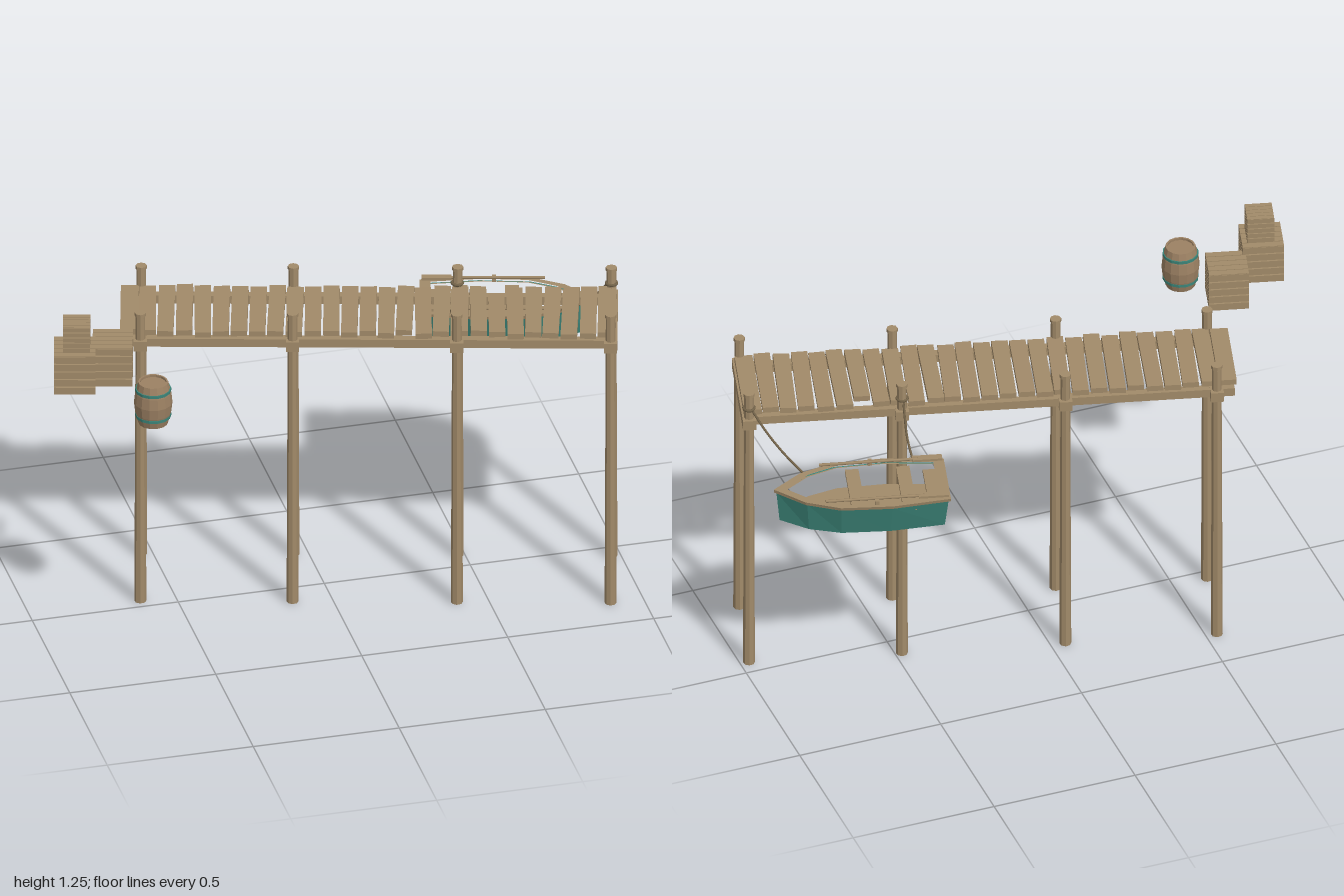
import * as THREE from 'three';

const mat = (name, color) => {
  const m = new THREE.MeshStandardMaterial({ color });
  m.name = name;
  return m;
};

// faceted normals
const flat = (g) => {
  const f = g.index ? g.toNonIndexed() : g;
  f.computeVertexNormals();
  return f;
};

export function createModel() {
  const wood = mat('weathered wood', 0xa18a69);
  const barrelWood = mat('barrel wood', 0x9c8163);
  const teal = mat('teal paint', 0x3c8478);
  const ropeMat = mat('rope', 0x74644a);

  const root = new THREE.Group();
  root.name = 'dock';

  let seed = 7;
  const rand = () => {
    seed = (seed * 16807) % 2147483647;
    return seed / 2147483647 - 0.5;
  };
  const add = (parent, name, geo, material, x = 0, y = 0, z = 0) => {
    const m = new THREE.Mesh(geo, material);
    m.name = name;
    m.position.set(x, y, z);
    parent.add(m);
    return m;
  };
  const box = (parent, name, w, h, d, x, y, z, material = wood) =>
    add(parent, name, new THREE.BoxGeometry(w, h, d), material, x, y, z);
  const group = (name, x, y, z, ry) => {
    const g = new THREE.Group();
    g.name = name;
    g.position.set(x, y, z);
    g.rotation.y = ry;
    root.add(g);
    return g;
  };

  // pier: posts with caps, cross beams, stringers
  const pier = group('pier', 0.175, 0, 0.0075, -0.26);
  const postGeo = flat(new THREE.CylinderGeometry(0.016, 0.02, 1.09, 8));
  const capGeo = flat(new THREE.CylinderGeometry(0.019, 0.019, 0.012, 8));
  for (const u of [-0.78, -0.275, 0.27, 0.78]) {
    for (const s of [-1, 1]) {
      add(pier, 'post', postGeo, wood, u, 0.545, s * 0.158);
      add(pier, 'postCap', capGeo, wood, u, 1.094, s * 0.158);
    }
    box(pier, 'crossBeam', 0.044, 0.036, 0.365, u, 0.983, 0);
  }
  for (const s of [-1, 1]) box(pier, 'stringer', 1.63, 0.03, 0.028, -0.025, 0.985, s * 0.145);

  // deck planks, slightly uneven
  const count = 27;
  const step = 1.645 / count;
  for (let i = 0; i < count; i++) {
    const u = -0.848 + step * (i + 0.5);
    const end = i === 0 || i === count - 1;
    const broken = i === 20;
    const len = broken ? 0.265 : 0.305 + rand() * 0.02;
    const p = box(pier, 'plank', step * (end ? 0.98 : 0.89), 0.02, len,
      u, 1.017 + rand() * 0.005, broken ? 0.02 : rand() * 0.012);
    if (!end) p.rotation.set(rand() * 0.02, rand() * 0.05, rand() * 0.08);
  }

  // slatted crates
  function crate(name, size, h, x, y, z) {
    const g = group(name, x, y, z, -0.26);
    const t = size * 0.06;
    const half = size / 2;
    const rows = 5;
    const rowH = h / rows;
    for (const sx of [-1, 1])
      for (const sz of [-1, 1])
        box(g, 'cornerPost', t * 2, h - t, t * 2, sx * (half - t * 2), h / 2, sz * (half - t * 2));
    for (let i = 0; i < rows; i++) {
      const yy = rowH * (i + 0.5);
      for (const s of [-1, 1]) {
        box(g, 'slat', size, rowH * 0.84, t, 0, yy, s * (half - t / 2));
        box(g, 'slat', t, rowH * 0.84, size - 2 * t, s * (half - t / 2), yy, 0);
      }
      const zz = -half + (size / rows) * (i + 0.5);
      for (const yb of [t / 2, h - t / 2])
        box(g, 'lidSlat', size, t, (size / rows) * 0.88, 0, yb, zz);
    }
  }
  crate('lowerCrate', 0.138, 0.145, -0.911, 1.01, 0.22);
  crate('topCrate', 0.09, 0.097, -0.905, 1.155, 0.222);
  crate('sideCrate', 0.133, 0.145, -0.763, 0.98, 0.15);

  // barrel with recessed ends and two bands
  const barrel = group('barrel', -0.68, 0.916, 0.367, 0);
  const lathe = (pts) =>
    flat(new THREE.LatheGeometry(pts.map(([r, y]) => new THREE.Vector2(r, y)), 14));
  add(barrel, 'staves', lathe([[0, 0.008], [0.044, 0.008], [0.044, 0], [0.05, 0], [0.06, 0.04],
    [0.064, 0.077], [0.06, 0.115], [0.05, 0.154], [0.044, 0.154], [0.044, 0.146], [0, 0.146]]), barrelWood);
  const band = lathe([[0.054, -0.005], [0.06, -0.005], [0.06, 0.005], [0.054, 0.005]]);
  for (const y of [0.03, 0.125]) add(barrel, 'band', band, teal, 0, y, 0);

  // rowing boat, stern at its local origin, bow along +x
  const boat = group('boat', 0.415, 0, -0.32, -0.255);
  const side = [[0, 0.112], [0.19, 0.134], [0.36, 0.126], [0.47, 0.082]];
  const outline = [...side, [0.565, 0], ...side.slice().reverse().map(([u, v]) => [u, -v])];
  const points = (k) => outline.map(([u, v]) => new THREE.Vector2(0.27 + (u - 0.27) * k, v * k));
  // slice of the boat between two heights, narrowing towards the keel
  function slice(name, outer, inner, y0, y1, material) {
    const shape = new THREE.Shape(points(outer));
    if (inner) shape.holes.push(new THREE.Path(points(inner)));
    const g = new THREE.ExtrudeGeometry(shape, { depth: y1 - y0, bevelEnabled: false });
    g.rotateX(-Math.PI / 2);
    g.translate(0, y0, 0);
    const p = g.attributes.position;
    for (let i = 0; i < p.count; i++) {
      const k = (p.getY(i) - 0.735) / 0.125;
      p.setX(i, 0.27 + (p.getX(i) - 0.27) * (0.96 + 0.04 * k));
      p.setZ(i, p.getZ(i) * (0.76 + 0.24 * k));
    }
    add(boat, name, flat(g), material);
  }
  slice('hull', 1, 0.94, 0.735, 0.848, teal);
  slice('hullBottom', 0.99, 0, 0.736, 0.746, teal);
  slice('lining', 0.945, 0.91, 0.746, 0.85, wood);
  slice('boatFloor', 0.93, 0, 0.765, 0.778, wood);
  slice('gunwale', 1.025, 0.89, 0.848, 0.86, wood);
  box(boat, 'bench', 0.045, 0.012, 0.235, 0.13, 0.832, 0);
  box(boat, 'bench', 0.045, 0.012, 0.235, 0.3, 0.832, 0);
  box(boat, 'sternSeat', 0.05, 0.012, 0.2, 0.04, 0.825, 0);

  // oars resting along the gunwales
  const shaft = new THREE.CylinderGeometry(0.005, 0.005, 0.33, 6).rotateZ(Math.PI / 2);
  for (const s of [-1, 1]) {
    add(boat, 'oarShaft', shaft, wood, 0.245, 0.874, s * 0.104);
    box(boat, 'oarBlade', 0.1, 0.008, 0.026, 0.05, 0.874, s * 0.104);
    box(boat, 'oarlock', 0.014, 0.02, 0.014, 0.24, 0.864, s * 0.116);
  }

  // mooring ropes and their knots around the posts
  const ropes = [
    [[0.475, 1.04, -0.085], [0.478, 0.99, -0.105], [0.48, 0.92, -0.135], [0.48, 0.86, -0.19]],
    [[0.965, 1.04, 0.045], [0.93, 0.97, 0.0], [0.89, 0.91, -0.055], [0.845, 0.86, -0.12]],
  ];
  for (const r of ropes) {
    const curve = new THREE.CatmullRomCurve3(r.map((p) => new THREE.Vector3(...p)));
    add(root, 'mooringRope', new THREE.TubeGeometry(curve, 12, 0.004, 6), ropeMat);
  }
  for (const [x, z] of [[0.475, -0.074], [0.97, 0.054]])
    add(root, 'knot', new THREE.TorusGeometry(0.018, 0.005, 6, 12).rotateX(Math.PI / 2), ropeMat, x, 1.04, z);

  return root;
}
